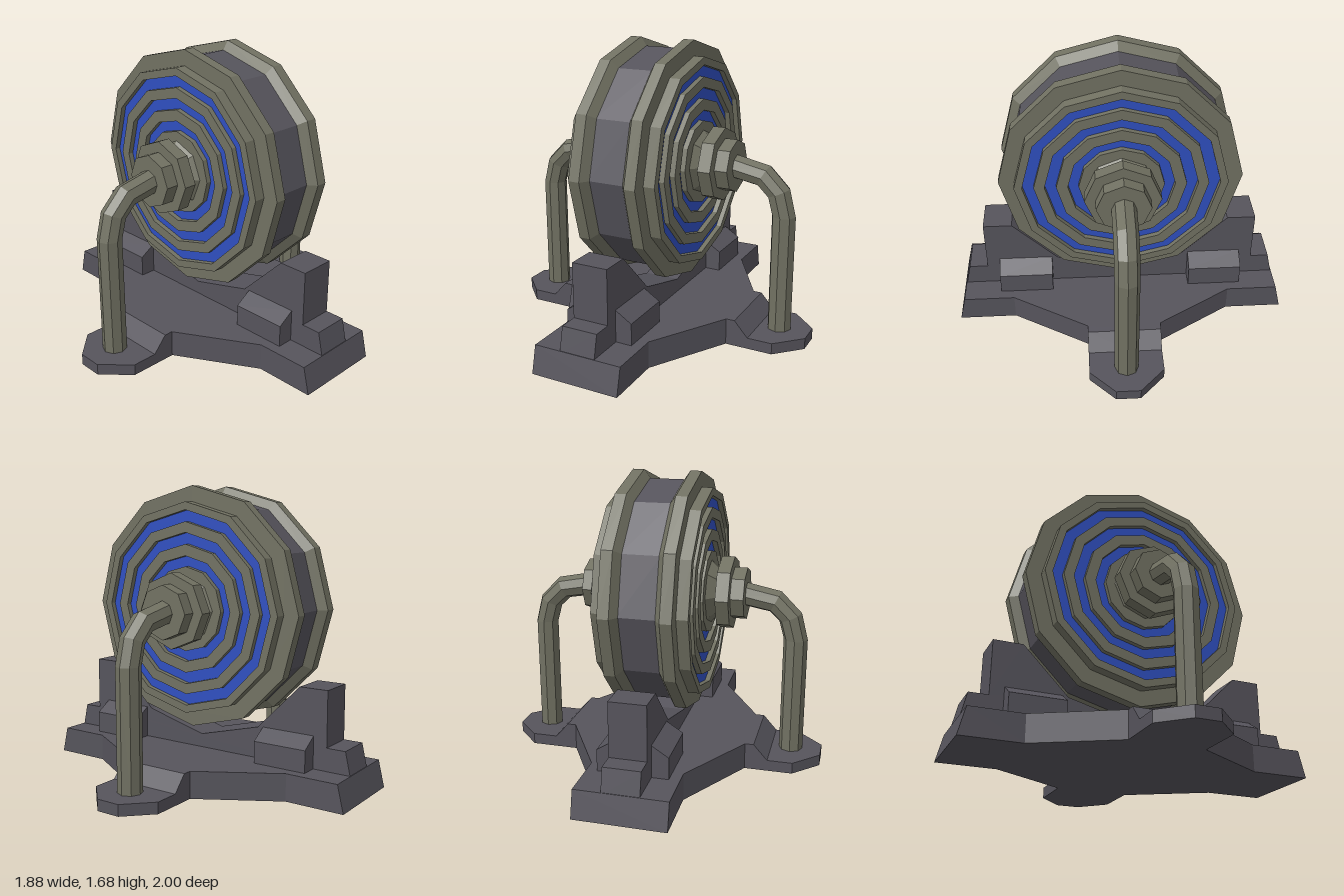
import * as THREE from 'three';

const paint = (color) => new THREE.MeshStandardMaterial({ color, flatShading: true });
const AXLE_Y = 0.995;

function add(parent, name, geometry, material) {
  const mesh = new THREE.Mesh(geometry, material);
  mesh.name = name;
  parent.add(mesh);
  return mesh;
}

// Turned part around the x axis; profile is [radius, x] pairs with x rising
function turned(profile, sides) {
  const g = new THREE.LatheGeometry(profile.map(([r, a]) => new THREE.Vector2(r, a)), sides);
  return g.rotateZ(-Math.PI / 2);
}

function prism(points, depth) {
  const shape = new THREE.Shape(points.map(([x, y]) => new THREE.Vector2(x, y)));
  return new THREE.ExtrudeGeometry(shape, { depth, bevelEnabled: false });
}

// Complete a half outline (x > 0) with its mirror image
const mirrored = (half) => [...half, ...half.map(([x, y]) => [-x, y]).reverse()];

// Octagonal pipe through [x, y, angle of the cut] sections in the xy plane
function pipe(sections, radius, sides = 8) {
  const pos = [], index = [];
  sections.forEach(([x, y, deg], i) => {
    const t = THREE.MathUtils.degToRad(deg);
    for (let j = 0; j < sides; j++) {
      const a = (j / sides) * Math.PI * 2;
      const u = radius * Math.cos(a);
      pos.push(x + u * Math.cos(t), y + u * Math.sin(t), radius * Math.sin(a));
      if (i === 0) continue;
      const k = (j + 1) % sides, p = (i - 1) * sides, q = i * sides;
      index.push(p + j, p + k, q + j, p + k, q + k, q + j);
    }
  });
  const g = new THREE.BufferGeometry();
  g.setAttribute('position', new THREE.Float32BufferAttribute(pos, 3));
  g.setIndex(index);
  const flat = g.toNonIndexed();
  flat.computeVertexNormals();
  return flat;
}

function createBase(metal) {
  const base = new THREE.Group();
  base.name = 'base';

  // Cross-shaped plate whose arm ends slope inward at the top
  const half = [[0.26, -1], [0.26, -0.66], [0.52, -0.215], [0.708, -0.215],
    [0.708, 0.215], [0.52, 0.215], [0.26, 0.66], [0.26, 1]];
  const plate = prism(mirrored(half), 0.155).rotateX(-Math.PI / 2);
  const p = plate.attributes.position;
  for (let i = 0; i < p.count; i++) {
    if (p.getY(i) < 0.1) continue;
    if (Math.abs(p.getZ(i)) > 0.99) p.setZ(i, p.getZ(i) * 0.963);
    if (Math.abs(p.getX(i)) > 0.7) p.setX(i, Math.sign(p.getX(i)) * 0.57);
  }
  plate.computeVertexNormals();
  add(base, 'basePlate', plate, metal);

  // Cradle fin running front to back under the wheel
  const fin = [[0.963, 0.14], [0.93, 0.285], [0.82, 0.285], [0.82, 0.6],
    [0.65, 0.6], [0.385, 0.335], [0, 0.235]];
  const outline = [...fin, ...fin.slice(0, -1).map(([z, y]) => [-z, y]).reverse()];
  add(base, 'cradleFin', prism(outline, 0.21).translate(0, 0, -0.105).rotateY(Math.PI / 2), metal);

  for (const s of [1, -1]) {
    // Chamfered blocks bracing the fin
    const brace = mirrored([[0.2, 0.14], [0.2, 0.28], [0.105, 0.34]]);
    add(base, 'finBrace', prism(brace, 0.32).translate(0, 0, s * 0.58 - 0.16), metal);
    // Low feet that carry the pipes
    const foot = prism([[0.55, -0.215], [0.795, -0.215], [0.94, -0.07],
      [0.94, 0.07], [0.795, 0.215], [0.55, 0.215]], 0.065).rotateX(-Math.PI / 2);
    add(base, 'pipeFoot', foot, metal).rotation.y = s > 0 ? 0 : Math.PI;
  }
  return base;
}

function createSide(olive, blue) {
  const side = new THREE.Group();
  const face = 0.265, floor = 0.235;
  const grooves = [[0.555, 0.49], [0.43, 0.365], [0.3, 0.24]];

  // Rim flange and stepped face with ring grooves
  const profile = [[0.6, 0.1], [0.64, 0.1], [0.69, 0.135], [0.69, 0.2], [0.6, 0.2], [0.6, face]];
  for (const [outer, inner] of grooves)
    profile.push([outer, face], [outer, floor - 0.004], [inner, floor - 0.004], [inner, face]);
  profile.push([0, face]);
  add(side, 'wheelSide', turned(profile, 12), olive);

  // Glowing rings lying in the grooves
  for (const [outer, inner] of grooves)
    add(side, 'glowRing', turned([[outer, floor], [inner, floor]], 12), blue);

  // Cone, collar and cap of the hub
  add(side, 'hub', turned([[0.19, 0.26], [0.125, 0.325], [0.213, 0.325], [0.213, 0.4],
    [0.152, 0.4], [0.152, 0.475], [0, 0.475]], 8), olive);

  // Bent pipe from the hub down to the foot
  add(side, 'pipe', pipe([[0.44, 0.998, 82], [0.64, 0.96, 63], [0.728, 0.873, 24],
    [0.762, 0.745, 0], [0.762, 0.01, 0]], 0.069), olive);
  return side;
}

export function createModel() {
  const model = new THREE.Group();
  model.name = 'wheelGenerator';
  const metal = paint(0x56545c), olive = paint(0x717162), blue = paint(0x2f4fc0);

  model.add(createBase(metal));

  const core = turned([[0, -0.11], [0.64, -0.11], [0.64, 0.11], [0, 0.11]], 12);
  add(model, 'wheelCore', core, metal).position.y = AXLE_Y;

  for (const s of [1, -1]) {
    const side = createSide(olive, blue);
    side.name = s > 0 ? 'leftSide' : 'rightSide';
    side.rotation.y = s > 0 ? 0 : Math.PI;
    // Wheel parts are built around the axle; the pipe is already at full height
    for (const part of side.children) if (part.name !== 'pipe') part.position.y = AXLE_Y;
    model.add(side);
  }
  return model;
}
